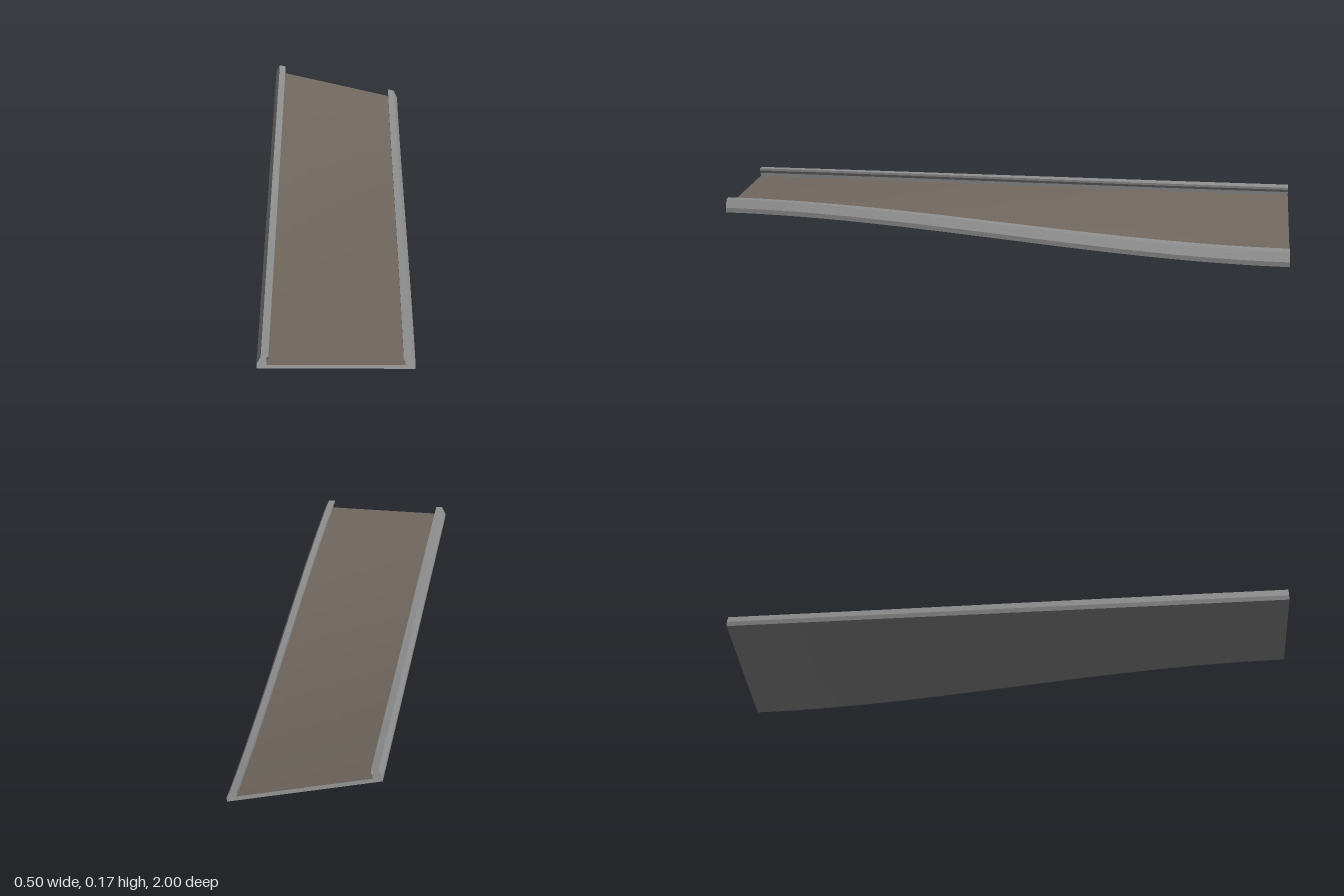
import * as THREE from 'three';

const STEPS = 40;   // slices along the length
const DROP = 0.125; // how far the +x edge sinks towards the back

// Shear each cross-section point so the track banks smoothly towards the back
function bank([x, y], t) {
  const ease = t * t * (3 - 2 * t);
  return [x, y - DROP * ease * (x + 0.25) / 0.5, 1 - 2 * t];
}

// Sweep a clockwise open profile along the track: hard edges across, smooth along
function sweep(profile, material, name) {
  const positions = [], index = [];
  for (let s = 0; s < profile.length - 1; s++) {
    const base = positions.length / 3;
    for (let j = 0; j <= STEPS; j++) {
      positions.push(...bank(profile[s], j / STEPS), ...bank(profile[s + 1], j / STEPS));
    }
    for (let j = 0; j < STEPS; j++) {
      const a = base + j * 2;
      index.push(a, a + 1, a + 2, a + 1, a + 3, a + 2);
    }
  }
  const geometry = new THREE.BufferGeometry();
  geometry.setAttribute('position', new THREE.Float32BufferAttribute(positions, 3));
  geometry.setIndex(index);
  geometry.computeVertexNormals();
  const mesh = new THREE.Mesh(geometry, material);
  mesh.name = name;
  return mesh;
}

export function createModel() {
  const railGrey = new THREE.MeshStandardMaterial({ color: 0x8f8f8f, side: THREE.DoubleSide });
  railGrey.name = 'rail grey';
  const deckBrown = new THREE.MeshStandardMaterial({ color: 0x71685f, side: THREE.DoubleSide });
  deckBrown.name = 'deck brown';

  // Rail outline from the outer bottom edge over the top to the deck
  const rail = [[-0.25, 0.125], [-0.25, 0.142], [-0.236, 0.171], [-0.212, 0.171],
    [-0.212, 0.163], [-0.218, 0.152], [-0.218, 0.14]];
  const mirrored = rail.map(([x, y]) => [-x, y]).reverse();

  // Thin surfaces subdivided across the width so the twist stays smooth
  const across = (x0, x1, y) => Array.from({ length: 9 }, (_, i) => [x0 + (x1 - x0) * i / 8, y]);

  const track = new THREE.Group();
  track.name = 'bankedTrack';
  track.add(
    sweep(rail, railGrey, 'rightRail'),
    sweep(mirrored, railGrey, 'leftRail'),
    sweep(across(-0.218, 0.218, 0.14), deckBrown, 'deck'),
    sweep(across(0.25, -0.25, 0.125), railGrey, 'underside'),
  );
  return track;
}
